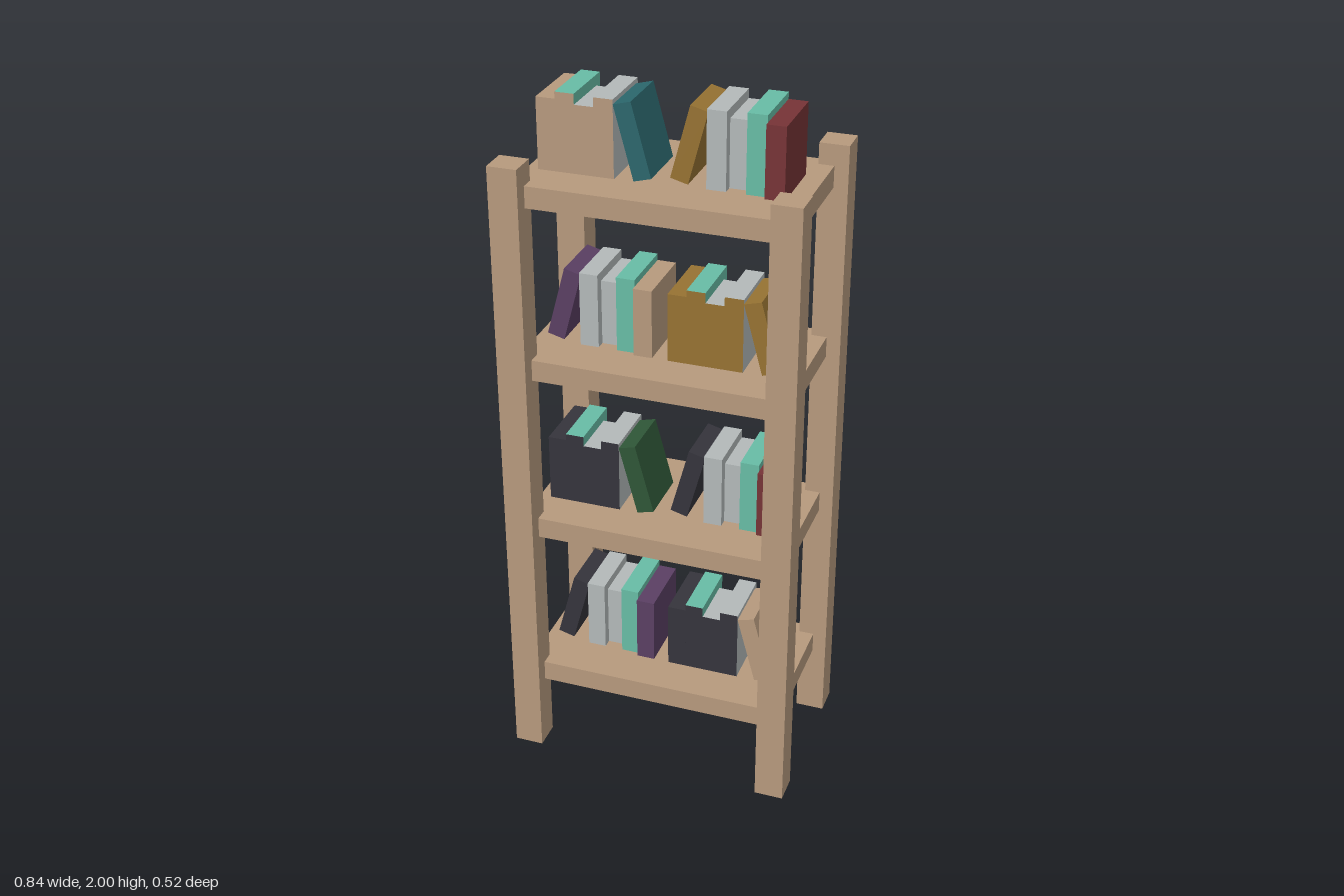
import * as THREE from 'three';

const mat = (name, color) => {
  const m = new THREE.MeshStandardMaterial({ color });
  m.name = name;
  return m;
};

export function createModel() {
  const wood = mat('wood', 0xb6997d);
  const mint = mat('mint', 0x67bca5);
  const grey = mat('grey', 0xb3b9b9);
  const red = mat('red', 0x763336);
  const gold = mat('gold', 0x967232);
  const purple = mat('purple', 0x5a3f63);
  const charcoal = mat('charcoal', 0x35343c);
  const green = mat('green', 0x2f5637);
  const petrol = mat('petrol', 0x2b666c);

  const model = new THREE.Group();
  model.name = 'bookshelf';

  const box = (parent, name, material, size, pos) => {
    const mesh = new THREE.Mesh(new THREE.BoxGeometry(...size), material);
    mesh.name = name;
    mesh.position.set(...pos);
    parent.add(mesh);
    return mesh;
  };

  // Four corner posts
  const postHeight = 1.843;
  for (const sx of [-1, 1]) {
    for (const sz of [-1, 1]) {
      box(model, 'post', wood, [0.083, postHeight, 0.083],
        [sx * 0.3765, postHeight / 2, sz * 0.2205]);
    }
  }

  // A row of books: one leaning, three plain, one end book.
  // The aligned back faces all take the end book's colour.
  const zBack = -0.098;
  const bookWidth = 0.053;
  function bookRow(leanMat, endMat) {
    const row = new THREE.Group();
    row.name = 'bookRow';

    const lean = box(row, 'leaningBook', leanMat, [0.05, 0.208, 0.17],
      [-0.1065, 0.1075, zBack + 0.085]);
    lean.rotation.z = -THREE.MathUtils.degToRad(15);

    const upright = [
      { m: grey, h: 0.214, d: 0.183 },
      { m: grey, h: 0.188, d: 0.156 },
      { m: mint, h: 0.217, d: 0.183 },
      { m: endMat, h: 0.198, d: 0.196 },
    ];
    upright.forEach(({ m, h, d }, i) => {
      const x = -0.0555 + (i + 0.5) * bookWidth;
      box(row, 'uprightBook', [m, m, m, m, m, endMat], [bookWidth, h, d],
        [x, h / 2, zBack + d / 2]);
    });
    return row;
  }

  // Shelves from bottom to top; each row lists [leaning colour, end colour]
  const shelves = [
    { flipLeft: false, left: [charcoal, purple], right: [wood, charcoal] },
    { flipLeft: true, left: [green, charcoal], right: [charcoal, red] },
    { flipLeft: false, left: [purple, wood], right: [gold, gold] },
    { flipLeft: true, left: [petrol, wood], right: [gold, red] },
  ];
  shelves.forEach(({ flipLeft, left, right }, i) => {
    const top = 0.275 + i * 0.5027;
    box(model, 'shelf', wood, [0.757, 0.061, 0.438], [0, top - 0.0305, 0]);

    const rows = [[left, -0.19, flipLeft], [right, 0.1675, !flipLeft]];
    for (const [colours, x, flipped] of rows) {
      const row = bookRow(...colours);
      row.position.set(x, top, 0);
      if (flipped) row.rotation.y = Math.PI;
      model.add(row);
    }
  });

  return model;
}
